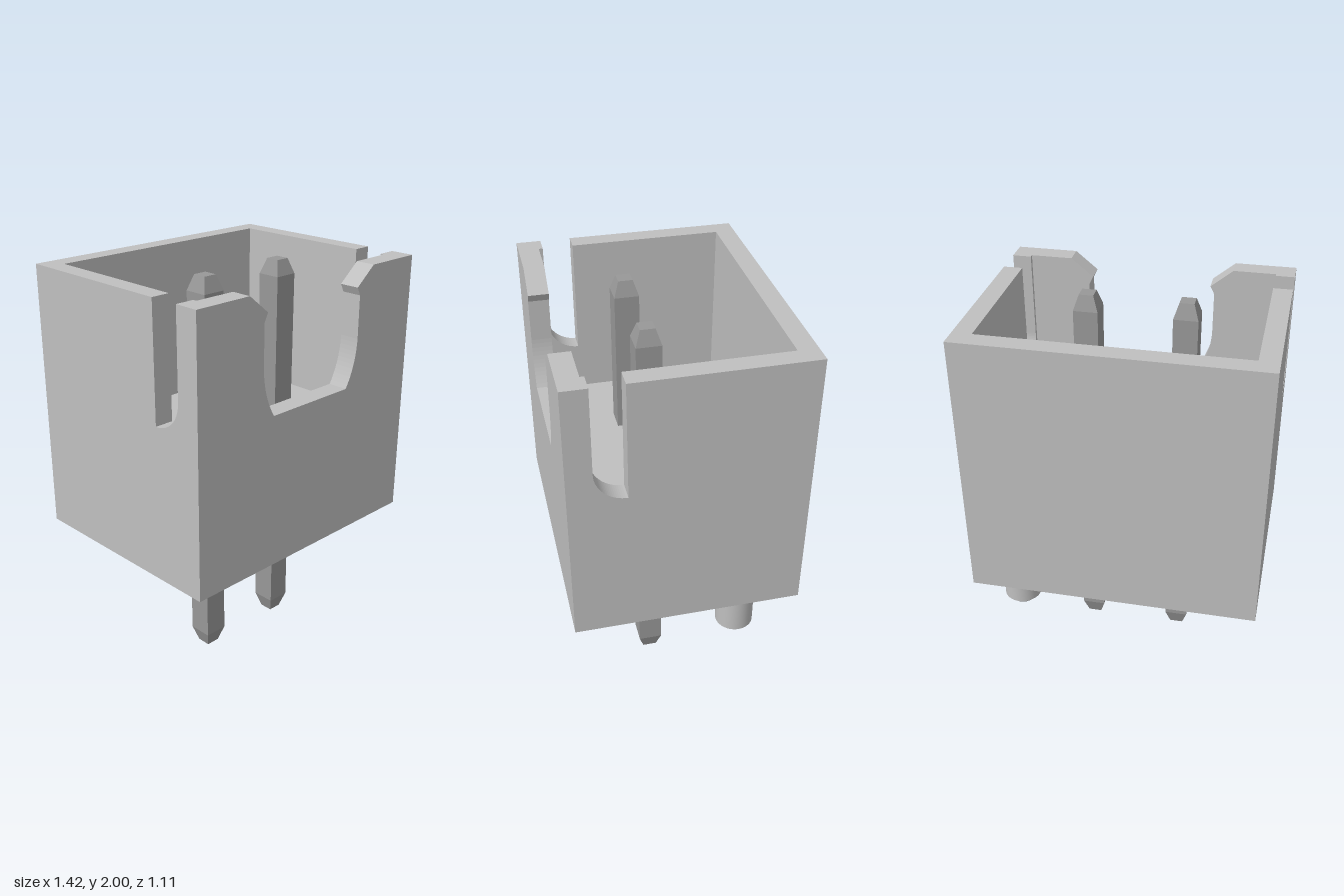
import * as THREE from 'three';

const W = 0.71, D = 0.555;          // outer half width and half depth
const IW = 0.617, IB = -0.46, IF = 0.455; // inner half width, inner back and front z
const BOTTOM = 0.655, TOP = 2, FLOOR = 1.18, NOTCH = 1.425;

export function createModel() {
  const housingMat = new THREE.MeshStandardMaterial({ color: 0xbfbfbf });
  housingMat.name = 'light grey plastic';
  const pinMat = new THREE.MeshStandardMaterial({ color: 0x989898 });
  pinMat.name = 'grey metal';

  const model = new THREE.Group();
  model.name = 'pinHeader';
  const housing = new THREE.Group();
  housing.name = 'housing';
  model.add(housing);

  const add = (parent, name, geometry, material, x = 0, y = 0, z = 0) => {
    const mesh = new THREE.Mesh(geometry, material);
    mesh.name = name;
    mesh.position.set(x, y, z);
    parent.add(mesh);
    return mesh;
  };
  const extrude = (shape, depth) =>
    new THREE.ExtrudeGeometry(shape, { depth, bevelEnabled: false, curveSegments: 12 });

  // back wall and inner floor
  add(housing, 'backWall', new THREE.BoxGeometry(2 * W, TOP - BOTTOM, IB + D),
    housingMat, 0, (TOP + BOTTOM) / 2, (IB - D) / 2);
  add(housing, 'floor', new THREE.BoxGeometry(2 * IW, FLOOR - BOTTOM, IF - IB),
    housingMat, 0, (FLOOR + BOTTOM) / 2, (IF + IB) / 2);

  // front wall with a flared notch
  const front = new THREE.Shape();
  front.moveTo(-W, BOTTOM);
  front.lineTo(W, BOTTOM);
  front.lineTo(W, TOP);
  front.lineTo(0.41, TOP);
  front.lineTo(0.3, 1.91);
  front.lineTo(0.32, 1.87);
  front.lineTo(0.32, 1.66);
  front.quadraticCurveTo(0.315, 1.53, 0.25, NOTCH);
  front.lineTo(-0.25, NOTCH);
  front.quadraticCurveTo(-0.315, 1.53, -0.32, 1.66);
  front.lineTo(-0.32, 1.87);
  front.lineTo(-0.3, 1.91);
  front.lineTo(-0.41, TOP);
  front.lineTo(-W, TOP);
  front.closePath();
  add(housing, 'frontWall', extrude(front, D - IF), housingMat, 0, 0, IF);

  // side walls with a round-cornered slot; shape x runs towards the back
  const side = new THREE.Shape();
  side.moveTo(-IF, BOTTOM);
  side.lineTo(-IB, BOTTOM);
  side.lineTo(-IB, TOP);
  side.lineTo(-0.285, TOP);
  side.lineTo(-0.285, NOTCH);
  side.absarc(-0.285, NOTCH + 0.15, 0.15, -Math.PI / 2, -Math.PI, true);
  side.lineTo(-0.435, TOP);
  side.lineTo(-IF, TOP);
  side.closePath();
  const sideGeometry = extrude(side, W - IW).rotateY(Math.PI / 2);
  add(housing, 'leftWall', sideGeometry, housingMat, IW);
  add(housing, 'rightWall', sideGeometry, housingMat, -W);

  // square pins with tapered ends
  const r = 0.06 * Math.SQRT2, tip = 0.035 * Math.SQRT2;
  const profile = [[0, 0], [tip, 0], [r, 0.08], [r, 1.91], [tip, 1.985], [0, 1.985]]
    .map(([x, y]) => new THREE.Vector2(x, y));
  const pinGeometry = new THREE.LatheGeometry(profile, 4, Math.PI / 4).toNonIndexed();
  pinGeometry.computeVertexNormals();
  for (const s of [1, -1]) {
    add(model, s > 0 ? 'leftPin' : 'rightPin', pinGeometry, pinMat, s * 0.24, 0, 0.1);
  }

  // round locating peg with a chamfered end
  const peg = new THREE.Group();
  peg.name = 'locatingPeg';
  peg.position.set(0.545, 0, -0.285);
  model.add(peg);
  add(peg, 'pegShaft', new THREE.CylinderGeometry(0.095, 0.095, 0.26, 40, 1, true),
    housingMat, 0, 0.535, 0);
  add(peg, 'pegTip', new THREE.CylinderGeometry(0.095, 0.06, 0.035, 40),
    housingMat, 0, 0.3875, 0);

  return model;
}
